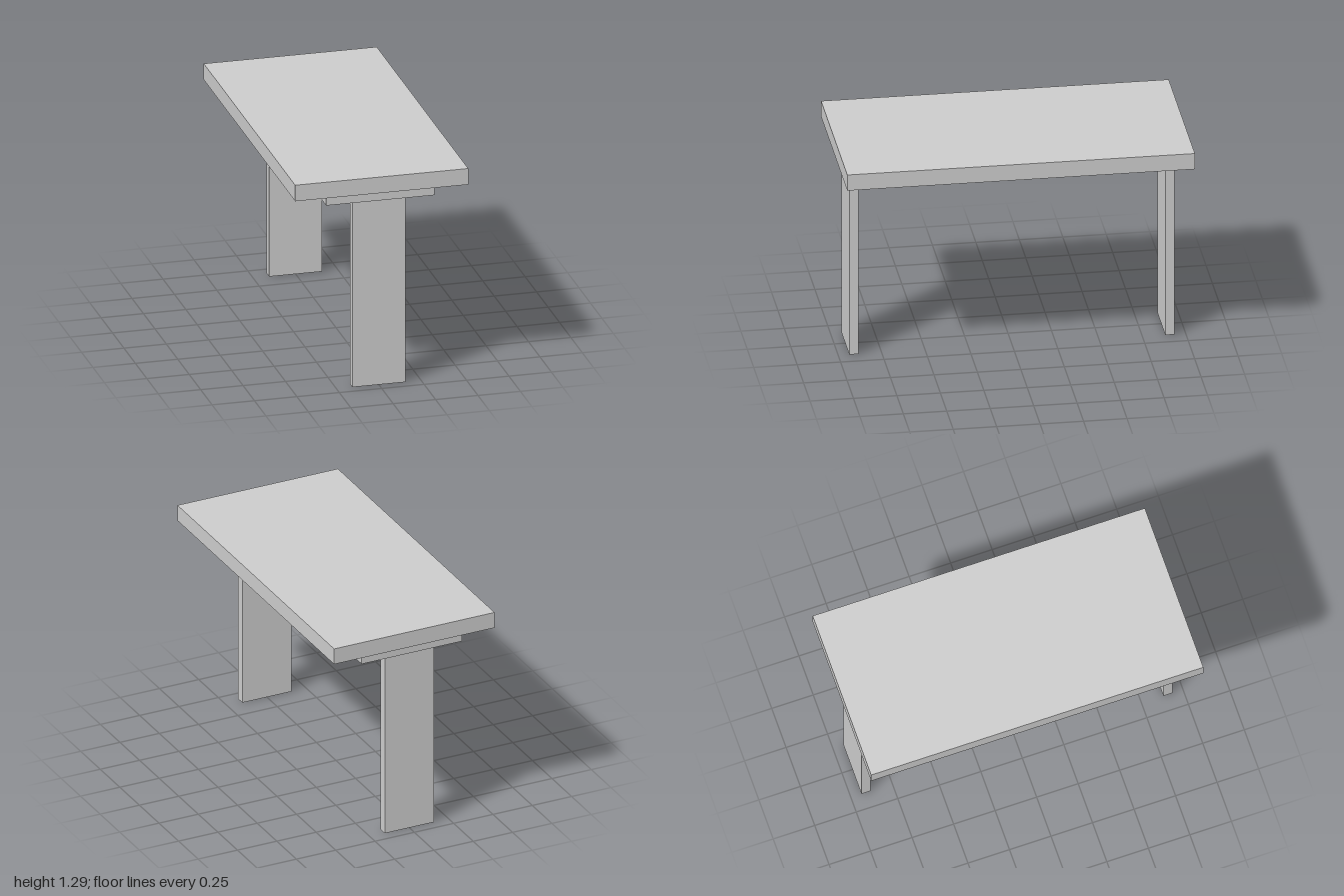
import * as THREE from 'three';

const material = new THREE.MeshStandardMaterial({ color: 0xcccccc, flatShading: true });

// Box standing on height y0 and reaching y1
function slab(name, width, y0, y1, depth, z = 0) {
  const mesh = new THREE.Mesh(new THREE.BoxGeometry(width, y1 - y0, depth), material);
  mesh.name = name;
  mesh.position.set(0, (y0 + y1) / 2, z);
  return mesh;
}

export function createModel() {
  const table = new THREE.Group();
  table.name = 'table';

  table.add(slab('tableTop', 1.02, 1.192, 1.29, 2));

  // One panel leg with its crosspiece near each end
  for (const [end, side] of [['front', 1], ['back', -1]]) {
    const z = side * 0.909;
    table.add(slab(`${end}Crosspiece`, 0.638, 1.135, 1.192, 0.118, z));
    table.add(slab(`${end}Leg`, 0.312, 0, 1.135, 0.054, z));
  }

  return table;
}
